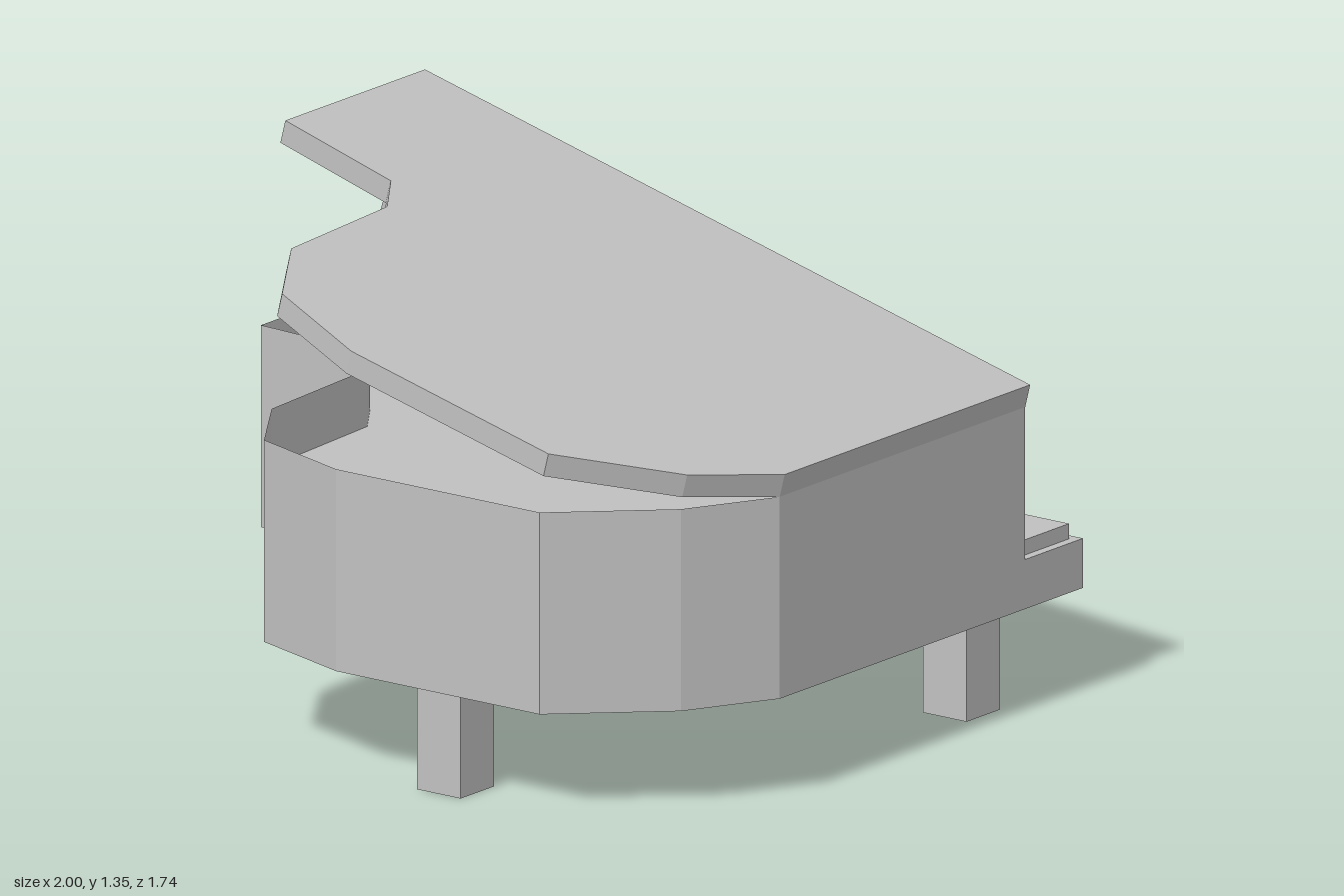
import * as THREE from 'three';

// Case outline as [x, z], shared by the case walls, floors and lid
const OUTLINE = [
  [-1, -0.63], [-1, -0.05], [-0.635, -0.025], [-0.545, 0.105], [-0.52, 0.535],
  [-0.365, 0.77], [-0.06, 0.87], [0.585, 0.87], [0.85, 0.63], [0.98, 0.39], [0.98, -0.63],
];
const HINGE_X = 0.98, RIM_Y = 0.8, BASE_Y = 0.27, SOUNDBOARD_Y = 0.65;

export function createModel() {
  const model = new THREE.Group();
  model.name = 'grandPiano';
  const grey = new THREE.MeshStandardMaterial({ color: 0xc0c0c0, flatShading: true, side: THREE.DoubleSide });
  grey.name = 'plain grey';

  const add = (name, geometry, x = 0, y = 0, z = 0, parent = model) => {
    const mesh = new THREE.Mesh(geometry, grey);
    mesh.name = name;
    mesh.position.set(x, y, z);
    parent.add(mesh);
    return mesh;
  };
  const box = (name, x0, x1, y0, y1, z0, z1) =>
    add(name, new THREE.BoxGeometry(x1 - x0, y1 - y0, z1 - z0), (x0 + x1) / 2, (y0 + y1) / 2, (z0 + z1) / 2);
  const shapeOf = (points) => new THREE.Shape(points.map(([x, y]) => new THREE.Vector2(x, y)));

  // Thin case walls following the outline
  const walls = [];
  OUTLINE.forEach(([ax, az], i) => {
    const [bx, bz] = OUTLINE[(i + 1) % OUTLINE.length];
    walls.push(ax, BASE_Y, az, bx, BASE_Y, bz, bx, RIM_Y, bz);
    walls.push(ax, BASE_Y, az, bx, RIM_Y, bz, ax, RIM_Y, az);
  });
  const wallGeometry = new THREE.BufferGeometry();
  wallGeometry.setAttribute('position', new THREE.Float32BufferAttribute(walls, 3));
  wallGeometry.computeVertexNormals();
  add('caseWalls', wallGeometry);

  // Underside, and soundboard recessed below the rim
  const underside = new THREE.ShapeGeometry(shapeOf(OUTLINE)).rotateX(Math.PI / 2);
  add('caseBottom', underside, 0, BASE_Y, 0);
  const soundboard = new THREE.ShapeGeometry(shapeOf(OUTLINE.map(([x, z]) => [x, -z]))).rotateX(-Math.PI / 2);
  add('soundboard', soundboard, 0, SOUNDBOARD_Y, 0);

  // Lid: the outline as a slab, hinged along the straight side
  const hinge = new THREE.Group();
  hinge.name = 'lidHinge';
  hinge.position.set(HINGE_X, RIM_Y, 0);
  hinge.rotation.z = -Math.atan2(0.49, 1.92);
  model.add(hinge);
  const lidThickness = 0.063;
  const lid = new THREE.ExtrudeGeometry(shapeOf(OUTLINE.map(([x, z]) => [x - HINGE_X, z])),
    { depth: lidThickness, bevelEnabled: false }).rotateX(Math.PI / 2);
  add('lid', lid, 0, lidThickness, 0, hinge);

  // Slanted stick holding the lid up
  const prop = new THREE.ExtrudeGeometry(
    shapeOf([[-0.955, SOUNDBOARD_Y], [-0.892, SOUNDBOARD_Y], [-0.707, 1.23], [-0.765, 1.245]]),
    { depth: 0.075, bevelEnabled: false });
  add('lidProp', prop, 0, 0, -0.385);

  // Keyboard shelf and key block
  box('keyboardShelf', -1, 0.98, BASE_Y, 0.4, -0.87, -0.63);
  box('keys', -0.97, 0.955, 0.4, 0.44, -0.845, -0.63);

  // Square legs, open at the ends
  const legGeometry = new THREE.CylinderGeometry(0.0975, 0.0975, BASE_Y, 4, 1, true).rotateY(Math.PI / 4);
  [['rightLeg', -0.87, -0.538], ['leftLeg', 0.848, -0.538], ['tailLeg', 0.255, 0.787]]
    .forEach(([name, x, z]) => add(name, legGeometry, x, BASE_Y / 2, z));

  return model;
}
